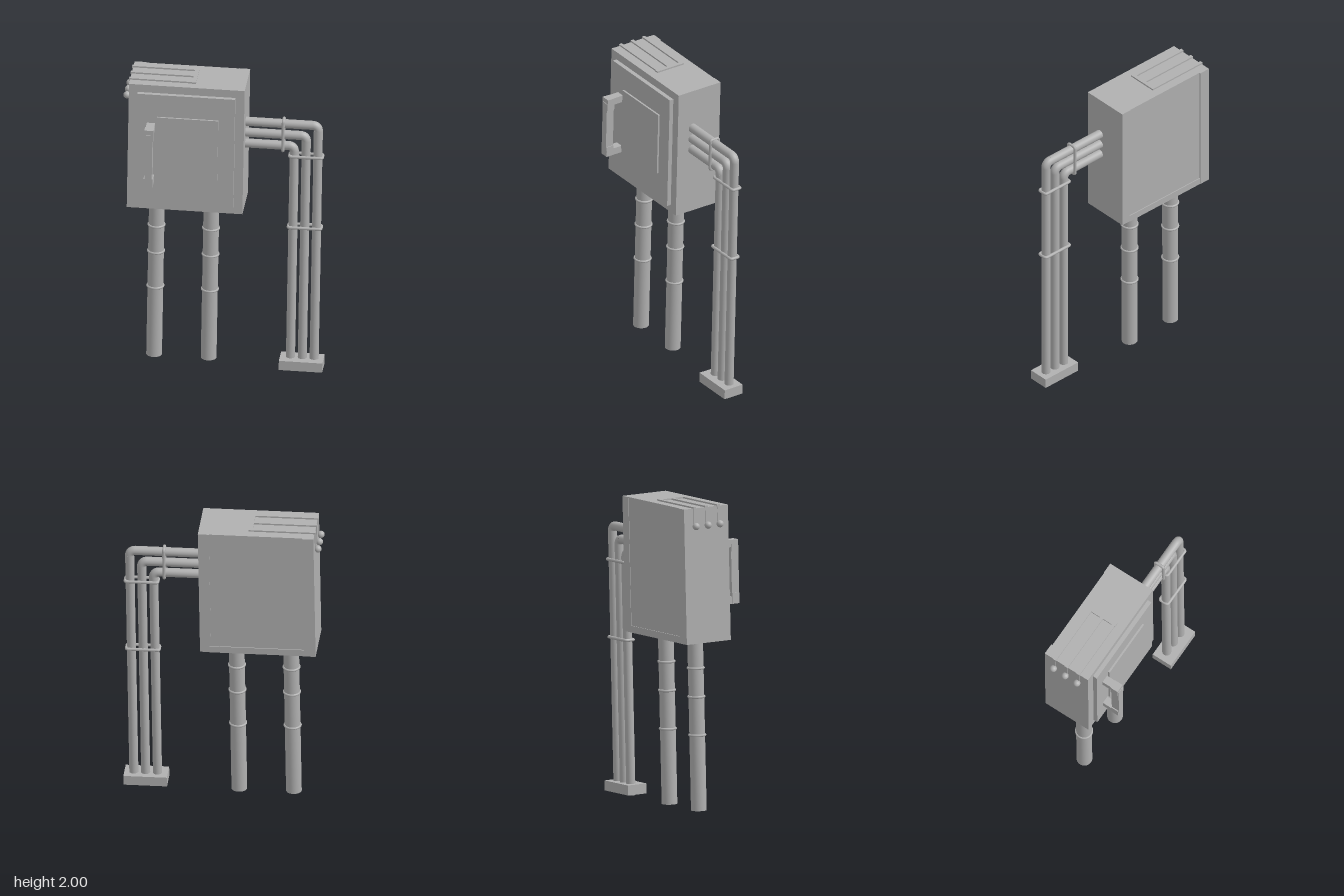
import * as THREE from 'three';

const grey = new THREE.MeshStandardMaterial({ color: 0xb0b0b0 });
grey.name = 'painted metal grey';

function add(parent, name, geometry, x = 0, y = 0, z = 0) {
  const mesh = new THREE.Mesh(geometry, grey);
  mesh.name = name;
  mesh.position.set(x, y, z);
  parent.add(mesh);
  return mesh;
}

// Box given by its lower and upper limits on each axis
function block(parent, name, [x0, x1], [y0, y1], [z0, z1]) {
  return add(parent, name, new THREE.BoxGeometry(x1 - x0, y1 - y0, z1 - z0),
    (x0 + x1) / 2, (y0 + y1) / 2, (z0 + z1) / 2);
}

function upright(parent, name, r, y0, y1, x, z, sides = 24) {
  return add(parent, name, new THREE.CylinderGeometry(r, r, y1 - y0, sides), x, (y0 + y1) / 2, z);
}

// Rounded rectangular loop of rod lying in the xz plane
function clampLoop(halfX, halfZ) {
  const c = 0.012, path = new THREE.CurvePath();
  const corners = [[1, 1], [-1, 1], [-1, -1], [1, -1]];
  const v = (x, z) => new THREE.Vector3(x, 0, z);
  corners.forEach(([sx, sz], i) => {
    const [nx, nz] = corners[(i + 1) % 4];
    const px = sx * halfX, pz = sz * halfZ, qx = nx * halfX, qz = nz * halfZ;
    const dx = Math.sign(qx - px) * c, dz = Math.sign(qz - pz) * c;
    const [mx, mz] = corners[(i + 2) % 4];
    const ex = Math.sign(mx - nx) * c, ez = Math.sign(mz - nz) * c;
    path.add(new THREE.LineCurve3(v(px + dx, pz + dz), v(qx - dx, qz - dz)));
    path.add(new THREE.QuadraticBezierCurve3(v(qx - dx, qz - dz), v(qx, qz), v(qx + ex, qz + ez)));
  });
  return new THREE.TubeGeometry(path, 90, 0.01, 10, true);
}

function buildCabinet() {
  const g = new THREE.Group();
  g.name = 'cabinet';
  block(g, 'cabinetBody', [-0.624, 0.11], [1.116, 1.98], [-0.204, 0.116]);
  block(g, 'door', [-0.567, 0.053], [1.167, 1.928], [0.11, 0.144]);
  block(g, 'doorPanel', [-0.44, -0.05], [1.357, 1.776], [0.14, 0.156]);

  // Back panel edging
  block(g, 'backEdgeRight', [-0.624, -0.55], [1.116, 1.98], [-0.212, -0.2]);
  block(g, 'backEdgeLeft', [0.04, 0.11], [1.116, 1.98], [-0.207, -0.2]);
  block(g, 'backEdgeBottom', [-0.56, 0.05], [1.116, 1.16], [-0.21, -0.2]);

  // Door handle
  const handle = new THREE.Group();
  handle.name = 'doorHandle';
  g.add(handle);
  block(handle, 'handleGrip', [-0.5, -0.454], [1.36, 1.7], [0.21, 0.264]);
  for (const [y0, y1, f0, f1] of [[1.322, 1.39, 1.322, 1.368], [1.655, 1.73, 1.684, 1.73]]) {
    block(handle, 'handleFoot', [-0.503, -0.451], [f0, f1], [0.14, 0.25]);
    block(handle, 'handleEnd', [-0.507, -0.449], [y0, y1], [0.208, 0.26]);
  }

  // Roof strips folded over the side, each ending in a bulb
  block(g, 'roofCrossStrip', [-0.23, -0.205], [1.975, 1.99], [-0.146, 0.058]);
  for (const z of [-0.135, -0.046, 0.043]) {
    block(g, 'roofStrip', [-0.63, -0.205], [1.975, 1.99], [z - 0.011, z + 0.011]);
    block(g, 'sideStrip', [-0.629, -0.62], [1.867, 1.985], [z - 0.007, z + 0.007]);
    add(g, 'sideBulb', new THREE.SphereGeometry(0.023, 20, 14), -0.643, 1.867, z);
  }
  return g;
}

function buildLegs() {
  const g = new THREE.Group();
  g.name = 'legs';
  for (const x of [-0.449, -0.103]) {
    const z = -0.04;
    upright(g, 'leg', 0.05, 0.024, 1.13, x, z, 28);
    upright(g, 'legCollar', 0.054, 1.1, 1.12, x, z, 28);
    for (const y of [0.505, 0.75, 0.933]) {
      const band = add(g, 'legBand', new THREE.TorusGeometry(0.05, 0.008, 8, 28), x, y, z);
      band.rotation.x = Math.PI / 2;
    }
  }
  return g;
}

function buildConduits() {
  const g = new THREE.Group();
  g.name = 'conduits';
  const r = 0.029, bend = 0.034, start = 0.1, z = 0.003;
  for (let i = 0; i < 3; i++) {
    const x = 0.42 + 0.075 * i, y = 1.563 + 0.076 * i;
    upright(g, 'verticalPipe', r, 0.012, y - bend, x, z);
    add(g, 'pipeElbow', new THREE.TorusGeometry(bend, r, 20, 10, Math.PI / 2), x - bend, y - bend, z);
    const length = x - bend - start;
    const run = add(g, 'horizontalPipe', new THREE.CylinderGeometry(r, r, length, 24), start + length / 2, y, z);
    run.rotation.z = Math.PI / 2;
  }

  // Clamps around the three pipes
  for (const y of [1.003, 1.5]) add(g, 'verticalClamp', clampLoop(0.104, 0.03), 0.496, y, z);
  add(g, 'horizontalClamp', clampLoop(0.104, 0.03), 0.35, 1.639, z).rotation.z = Math.PI / 2;

  block(g, 'conduitBase', [0.354, 0.63], [0.022, 0.086], [-0.06, 0.078]);
  return g;
}

export function createModel() {
  const model = new THREE.Group();
  model.name = 'electricalCabinet';
  // Everything leans slightly to one side and backwards
  const lean = new THREE.Group();
  lean.name = 'leaningAssembly';
  lean.rotation.set(-0.016, 0, -0.015);
  lean.add(buildCabinet(), buildLegs(), buildConduits());
  model.add(lean);
  return model;
}
